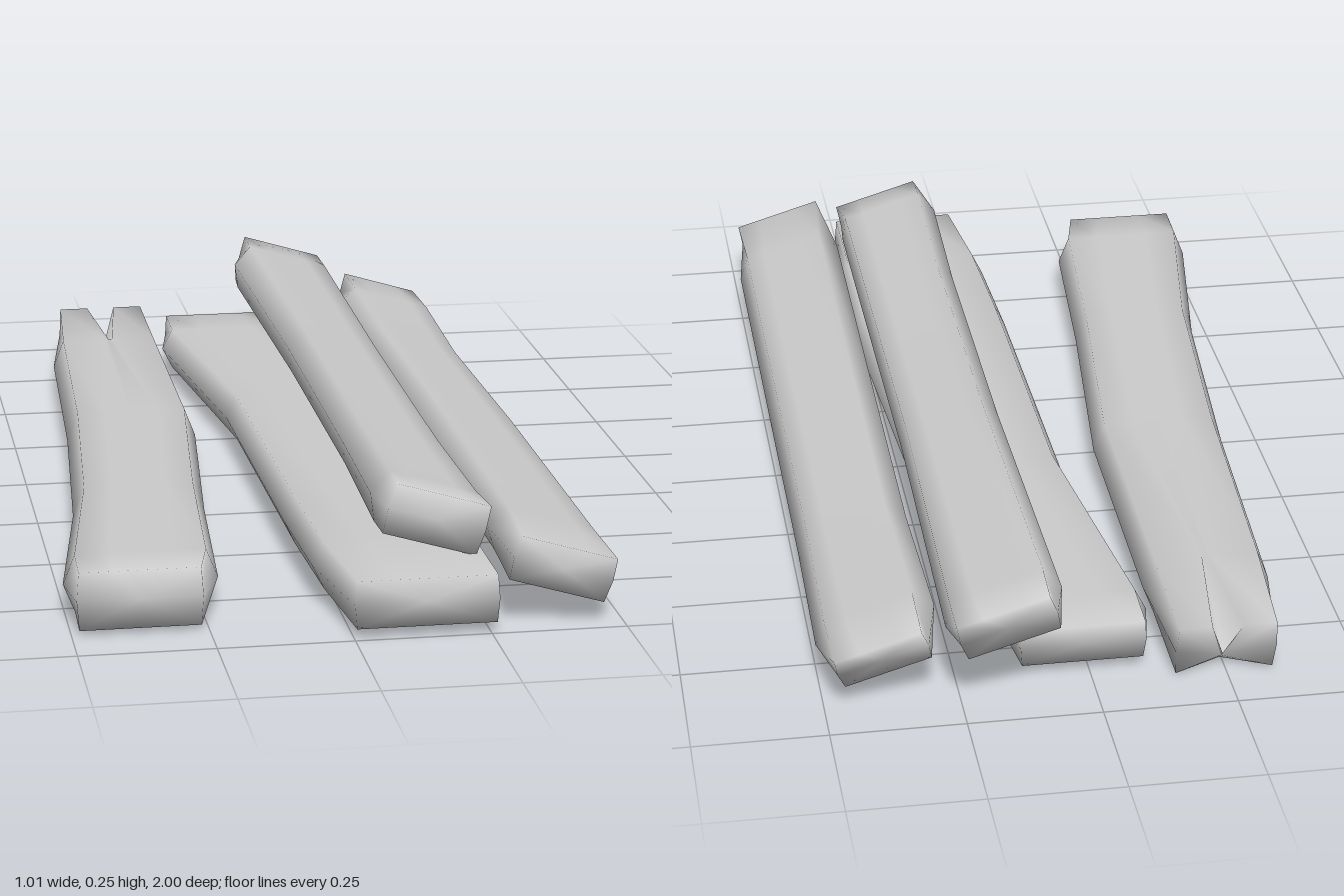
import * as THREE from 'three';

// Loft a hewn plank, front to back. Each station:
// z, left, right, bottom, top, plus optional side inset, slant (bottom z shift), split depth and half-width
function plankGeometry(stations) {
  const pos = [], idx = [], N = 10;
  const capCentre = [];
  stations.forEach(([z, l, r, b, t, o = {}], s) => {
    const end = s === 0 || s === stations.length - 1;
    const inset = o.inset ?? (end ? 0.004 : 0.022);
    const slant = o.slant ?? 0, split = o.split ?? 0;
    const mid = (b + t) / 2, xm = (l + r) / 2;
    const gap = o.gap ?? (r - l) * 0.2;
    const pull = split ? 0.045 : 0;
    const ring = [
      [l, mid, z + slant / 2],
      [l + inset, t, z],
      [xm - gap, t, z],
      [xm, t - split, z + pull],
      [xm + gap, t, z],
      [r - inset, t, z],
      [r, mid, z + slant / 2],
      [r - inset, b, z + slant],
      [xm, b, z + slant + pull],
      [l + inset, b, z + slant],
    ];
    ring.forEach((p) => pos.push(...p));
    if (end) capCentre.push([xm, (t - split + b) / 2, z + slant / 2 + pull]);
  });

  // side walls
  const last = (stations.length - 1) * N;
  for (let s = 0; s < stations.length - 1; s++) {
    for (let k = 0; k < N; k++) {
      const a = s * N + k, b = s * N + ((k + 1) % N);
      idx.push(a, b, a + N, b, b + N, a + N);
    }
  }
  // end caps
  const front = pos.length / 3;
  capCentre.forEach((p) => pos.push(...p));
  for (let k = 0; k < N; k++) {
    const n = (k + 1) % N;
    idx.push(front, n, k, front + 1, last + k, last + n);
  }
  const g = new THREE.BufferGeometry();
  g.setAttribute('position', new THREE.Float32BufferAttribute(pos, 3));
  g.setIndex(idx);
  g.computeVertexNormals();
  return g;
}

export function createModel() {
  const group = new THREE.Group();
  const material = new THREE.MeshStandardMaterial({ color: 0xcccccc });

  function addPlank(name, stations, x = 0, y = 0, tilt = 0) {
    const mesh = new THREE.Mesh(plankGeometry(stations), material);
    mesh.name = name;
    mesh.position.set(x, y, 0);
    mesh.rotation.z = tilt;
    group.add(mesh);
  }

  // lone plank with a split back end
  addPlank('splitPlank', [
    [0.9, -0.49, -0.26, 0.01, 0.12],
    [0.8, -0.505, -0.22, 0.01, 0.12],
    [0.4, -0.445, -0.19, 0.005, 0.118],
    [-0.1, -0.405, -0.14, 0.002, 0.116],
    [-0.66, -0.378, -0.135, 0, 0.115, { gap: 0.008 }],
    [-0.925, -0.34, -0.15, 0.005, 0.115, { split: 0.085, gap: 0.03, slant: 0.03 }],
  ]);

  // wide plank lying flat under the leaning ones
  addPlank('bottomPlank', [
    [0.995, 0, 0.265, 0.02, 0.11],
    [0.77, -0.04, 0.283, 0.02, 0.11],
    [0.5, -0.05, 0.28, 0.017, 0.11],
    [-0.2, -0.06, 0.24, 0.015, 0.108],
    [-0.75, -0.125, 0.16, 0.018, 0.105],
    [-0.87, -0.105, 0.13, 0.02, 0.105, { slant: 0.02 }],
  ]);

  // two tilted planks resting on it
  addPlank('upperPlank', [
    [0.875, -0.094, 0.095, -0.05, 0.047],
    [0.8, -0.114, 0.1, -0.052, 0.048],
    [0.45, -0.105, 0.1, -0.05, 0.04],
    [-0.2, -0.104, 0.098, -0.05, 0.044],
    [-0.9, -0.115, 0.108, -0.052, 0.047],
    [-1, -0.094, 0.09, -0.05, 0.046, { slant: 0.045 }],
  ], 0.172, 0.18, -0.29);

  addPlank('sidePlank', [
    [0.975, -0.1, 0.092, -0.044, 0.04],
    [0.8, -0.114, 0.113, -0.045, 0.041, { inset: 0.03 }],
    [0.1, -0.108, 0.114, -0.045, 0.04, { inset: 0.03 }],
    [-0.45, -0.104, 0.115, -0.044, 0.03, { inset: 0.03 }],
    [-0.8, -0.112, 0.118, -0.045, 0.04, { inset: 0.03 }],
    [-0.95, -0.084, 0.09, -0.044, 0.038, { slant: 0.045 }],
  ], 0.39, 0.107, -0.29);

  return group;
}
